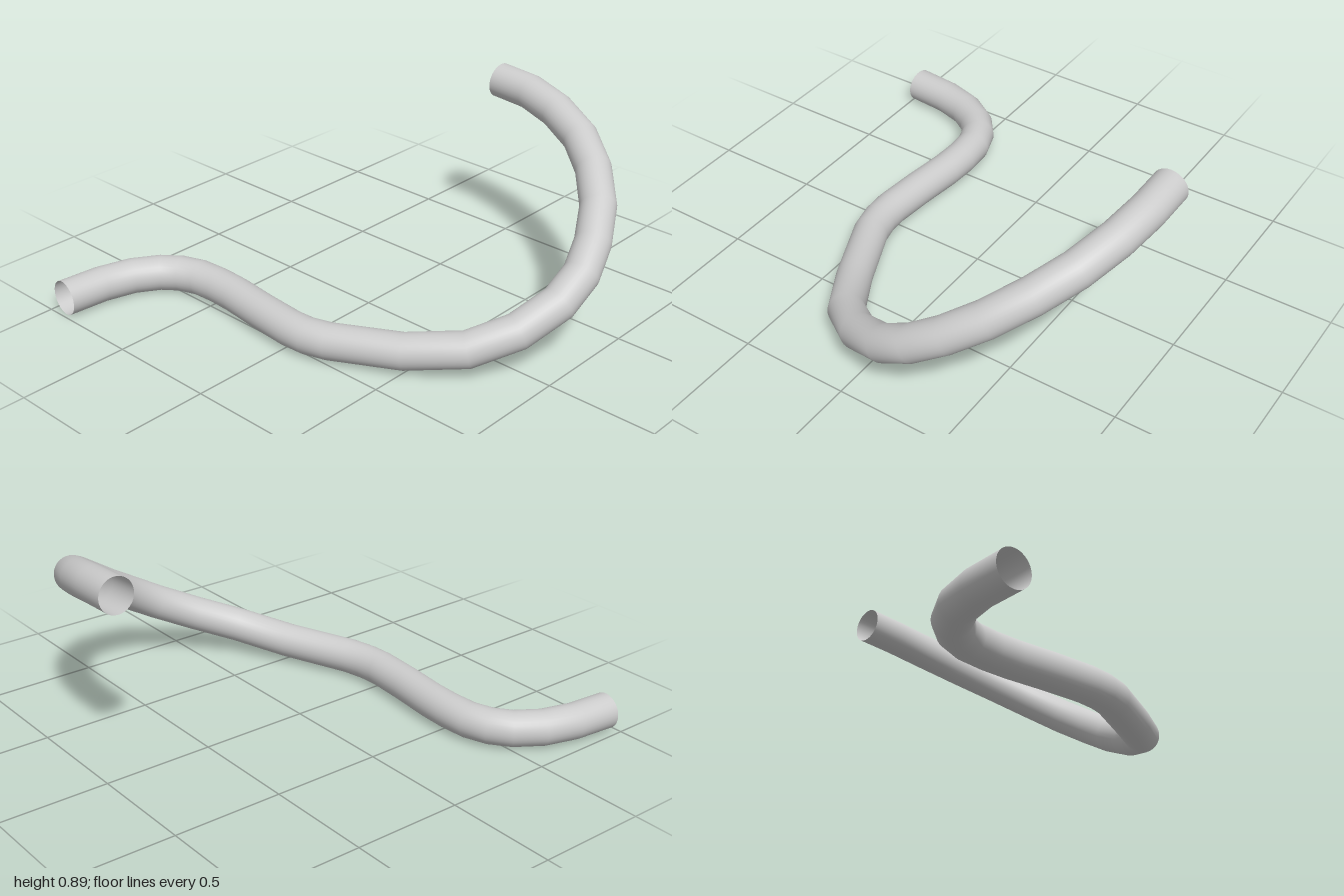
import * as THREE from 'three';

export function createModel() {
  const group = new THREE.Group();
  group.name = 'curvedPipe';

  // Centreline: a flat S-bend at the front, then a rising hook to the back
  const points = [
    [-0.92, 0.08, 0.98], [-0.902, 0.08, 0.79], [-0.86, 0.08, 0.645], [-0.79, 0.08, 0.538],
    [-0.715, 0.08, 0.48], [-0.62, 0.08, 0.447], [-0.5, 0.08, 0.44], [-0.38, 0.08, 0.446],
    [-0.2, 0.08, 0.468], [0, 0.08, 0.485], [0.095, 0.08, 0.48], [0.195, 0.083, 0.455],
    [0.49, 0.096, 0.32], [0.715, 0.137, 0.185], [0.84, 0.2, 0.02], [0.91, 0.285, -0.16],
    [0.917, 0.365, -0.3], [0.875, 0.447, -0.435], [0.798, 0.542, -0.575], [0.675, 0.635, -0.705],
    [0.53, 0.708, -0.805], [0.35, 0.765, -0.873], [0.175, 0.8, -0.906], [-0.003, 0.811, -0.911],
  ].map((p) => new THREE.Vector3(...p));

  // Sample exactly at the listed points so the bends keep their facets
  const path = new THREE.CatmullRomCurve3(points);
  path.getPointAt = path.getPoint;
  path.getTangentAt = path.getTangent;

  // Thin-walled pipe, open at both ends
  const pipe = new THREE.Mesh(
    new THREE.TubeGeometry(path, points.length - 1, 0.08, 32, false),
    new THREE.MeshStandardMaterial({ color: 0xcccccc, side: THREE.DoubleSide }),
  );
  pipe.name = 'pipe';
  group.add(pipe);
  return group;
}
